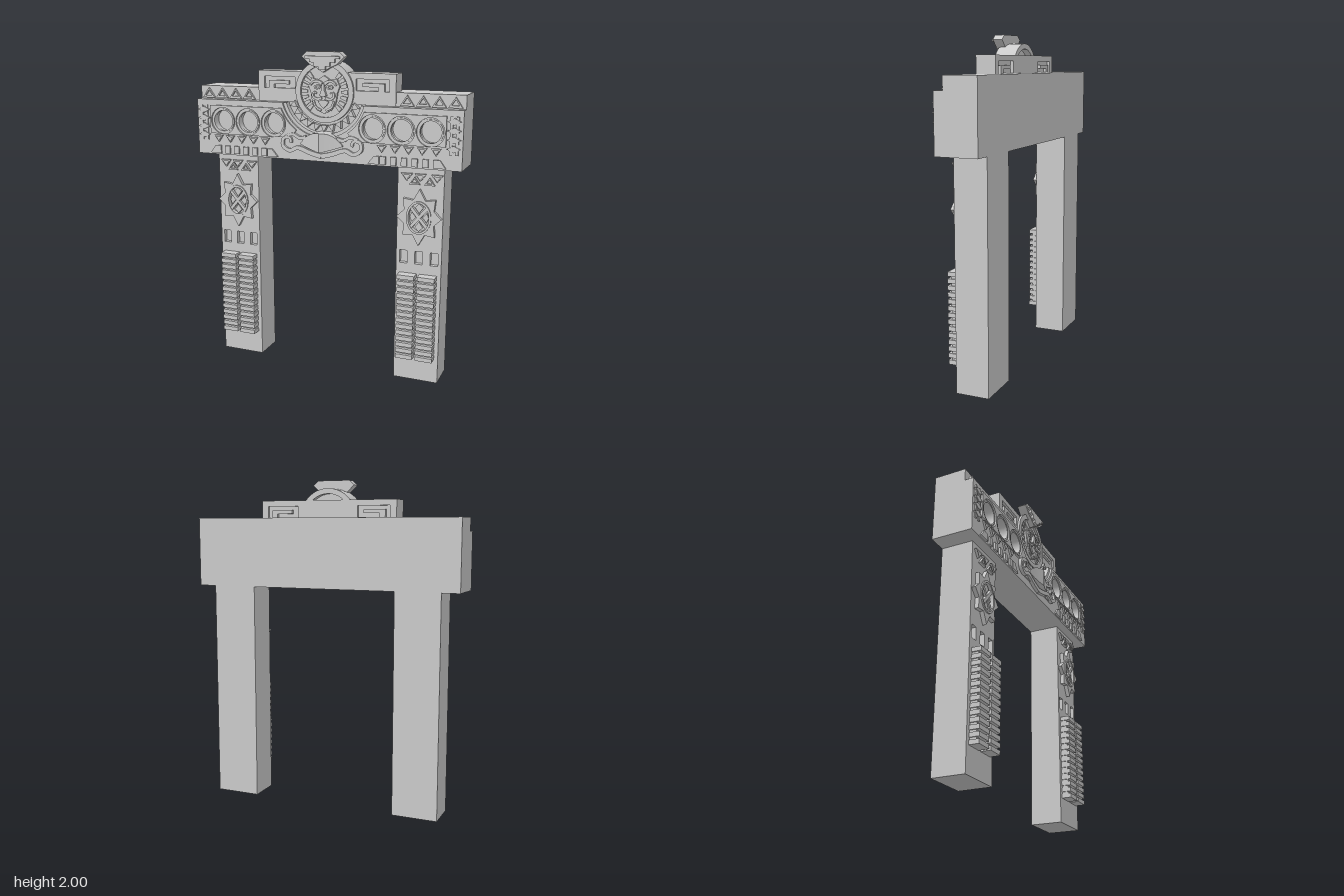
import * as THREE from 'three';
import { toCreasedNormals } from 'three/addons/utils/BufferGeometryUtils.js';

const mat = new THREE.MeshStandardMaterial({ color: 0xcccccc });
const V = (p) => new THREE.Vector2(p[0], p[1]);
const poly = (pts) => new THREE.Shape(pts.map(V));
const flip = (pts, s) => pts.map(([x, y]) => [x * s, y]);
const mirrored = (half) => half.concat(flip(half, -1).reverse().filter(([x]) => Math.abs(x) > 1e-6));

function circle(x, y, rx, ry = rx) {
  const s = new THREE.Shape();
  s.absellipse(x, y, rx, ry, 0, Math.PI * 2, false, 0);
  return s;
}
function add(group, name, geo) {
  const m = new THREE.Mesh(geo, mat);
  m.name = name;
  group.add(m);
  return m;
}
// flat relief of a shape between two depths
function relief(group, name, shape, z0, z1, holes = []) {
  shape.holes.push(...holes);
  const g = new THREE.ExtrudeGeometry(shape, { depth: z1 - z0, bevelEnabled: false, curveSegments: 20 });
  g.translate(0, 0, z0);
  return add(group, name, toCreasedNormals(g, 0.5));
}
function box(group, name, x0, x1, y0, y1, z0, z1) {
  const g = new THREE.BoxGeometry(x1 - x0, y1 - y0, z1 - z0);
  g.translate((x0 + x1) / 2, (y0 + y1) / 2, (z0 + z1) / 2);
  return add(group, name, g);
}
// outline of a tapering band along a smooth path
function band(pts, w0, w1, n = 28) {
  const c = new THREE.SplineCurve(pts.map(V)), a = [], b = [];
  for (let i = 0; i <= n; i++) {
    const t = i / n, p = c.getPoint(t), d = c.getTangent(t), w = (w0 + (w1 - w0) * t) / 2;
    a.push([p.x - d.y * w, p.y + d.x * w]);
    b.unshift([p.x + d.y * w, p.y - d.x * w]);
  }
  return poly(a.concat(b));
}
// open triangle frame, dir 1 points up and -1 points down
function triangle(group, name, x, y, w, h, dir, z0, z1) {
  const t = (k) => poly([[x - w * k, y - dir * h * k / 2], [x + w * k, y - dir * h * k / 2], [x, y + dir * h * k / 2]]);
  relief(group, name, t(1), z0, z1, [t(0.55)]);
}

function buildPost(root, s) {
  const g = new THREE.Group();
  g.name = s > 0 ? 'leftPost' : 'rightPost';
  root.add(g);
  const cx = 0.6 * s;
  box(g, 'postBody', cx - 0.14, cx + 0.14, 0, 1.35, -0.155, 0.015);
  // front skin with three sunken windows
  const windows = [-0.095, 0, 0.095].map((d) => poly([
    [cx + d - 0.024, 0.755], [cx + d + 0.024, 0.755], [cx + d + 0.024, 0.835], [cx + d - 0.024, 0.835]]));
  relief(g, 'postFace', poly([[cx - 0.14, 0], [cx + 0.14, 0], [cx + 0.14, 1.35], [cx - 0.14, 1.35]]), 0.015, 0.045, windows);
  // two stacks of slats
  for (const d of [-0.0625, 0.0625]) {
    box(g, 'slatCore', cx + d - 0.046, cx + d + 0.046, 0.16, 0.69, 0.04, 0.085);
    for (let i = 0; i < 14; i++) {
      const y = 0.155 + i * 0.0395;
      box(g, 'slat', cx + d - 0.053, cx + d + 0.053, y, y + 0.026, 0.04, 0.105);
    }
  }
  // zigzag of triangles
  for (const d of [-0.083, 0, 0.1]) triangle(g, 'downTriangle', cx + d, 1.287, 0.035, 0.046, -1, 0.04, 0.06);
  for (const d of [-0.035, 0.055]) triangle(g, 'upTriangle', cx + d, 1.268, 0.033, 0.046, 1, 0.04, 0.06);
  // eight-pointed star with a pierced oval
  const star = [];
  for (let i = 0; i < 16; i++) {
    const a = i * Math.PI / 8;
    const r = i % 2 ? 0.098 : i % 4 ? 0.138 : 1;
    const rx = r === 1 ? 0.137 : r, ry = r === 1 ? 0.172 : r * 1.15;
    star.push([cx + rx * Math.cos(a), 1.05 + ry * Math.sin(a)]);
  }
  relief(g, 'star', poly(star), 0.04, 0.07, [circle(cx, 1.05, 0.076, 0.1)]);
  relief(g, 'starOval', circle(cx, 1.05, 0.076, 0.1), 0.04, 0.078, [circle(cx, 1.05, 0.063, 0.087)]);
  for (const m of [-1, 1]) {
    relief(g, 'starCross', band([[cx - 0.05 * m, 0.99], [cx, 1.05], [cx + 0.05 * m, 1.11]], 0.02, 0.02, 8), 0.04, 0.072 + m * 0.002);
    relief(g, 'starLeaf', poly([[cx, 1.05 + m * 0.025], [cx + 0.025, 1.05 + m * 0.06], [cx, 1.05 + m * 0.085], [cx - 0.025, 1.05 + m * 0.06]]), 0.04, 0.065);
    relief(g, 'starPetal', poly([[cx + m * 0.02, 1.05], [cx + m * 0.045, 1.08], [cx + m * 0.058, 1.05], [cx + m * 0.045, 1.02]]), 0.04, 0.06);
  }
}

function buildLintel(root) {
  const g = new THREE.Group();
  g.name = 'lintel';
  root.add(g);
  box(g, 'lintelBody', -0.85, 0.85, 1.35, 1.775, -0.155, 0.045);
  // front slab with round wells and a bay for the medallion
  const slab = new THREE.Shape();
  slab.moveTo(-0.85, 1.35).lineTo(0.85, 1.35).lineTo(0.85, 1.695).lineTo(0.261, 1.695);
  slab.absarc(0, 1.765, 0.27, -0.262, -Math.PI + 0.262, true);
  slab.lineTo(-0.85, 1.695);
  const wells = [0.665, 0.492, 0.317];
  relief(g, 'frontSlab', slab, 0.045, 0.1, [-1, 1].flatMap((s) => wells.map((x) => circle(x * s, 1.565, 0.068))));

  for (const s of [-1, 1]) {
    // raised plate around the wells, its inner edge following the bay
    const edge = [[0.2, 1.485], [0.755, 1.485], [0.755, 1.66]];
    for (let i = 0; i <= 8; i++) {
      const a = 0.377 + i * 0.072;
      edge.push([0.285 * Math.cos(a), 1.765 - 0.285 * Math.sin(a)]);
    }
    relief(g, 'wellPlate', poly(flip(edge, s)), 0.095, 0.112, wells.map((x) => circle(x * s, 1.565, 0.083)));
    for (const x of wells) relief(g, 'wellRing', circle(x * s, 1.565, 0.074), 0.08, 0.106, [circle(x * s, 1.565, 0.064)]);
    // triangle and block friezes
    for (let i = 0; i < 4; i++) triangle(g, 'topTriangle', s * (0.79 - i * 0.094), 1.732, 0.042, 0.062, 1, 0.04, 0.06);
    for (let i = 0; i < 5; i++) triangle(g, 'lowTriangle', s * (0.7 - i * 0.081), 1.452, 0.03, 0.044, -1, 0.095, 0.112);
    for (let i = 0; i < 5; i++) {
      const x = s * (0.64 - i * 0.064);
      box(g, 'friezeBlock', x - 0.017, x + 0.017, 1.36, 1.408, 0.095, 0.112);
    }
    relief(g, 'friezeEnd', poly(flip([[0.76, 1.36], [0.685, 1.36], [0.685, 1.408], [0.725, 1.408]], s)), 0.095, 0.112);
    relief(g, 'friezeTip', poly(flip([[0.29, 1.36], [0.36, 1.36], [0.36, 1.408], [0.33, 1.408]], s)), 0.095, 0.112);
    // spiked end columns
    for (const x of [0.783, 0.818]) box(g, 'columnBar', s * x - 0.008, s * x + 0.008, 1.44, 1.66, 0.095, 0.108);
    for (let i = 0; i < 4; i++) {
      const y = 1.475 + i * 0.052;
      relief(g, 'columnSpike', poly([[s * 0.8 - 0.04, y], [s * 0.8, y - 0.02], [s * 0.8 + 0.04, y], [s * 0.8, y + 0.02]]), 0.095, 0.113);
    }
  }

  // crest block with squared spiral grooves on both faces
  const spiral = [[0.4, 1.775], [0.4, 1.845], [0.195, 1.845], [0.195, 1.777], [0.335, 1.777], [0.335, 1.8],
    [0.235, 1.8], [0.235, 1.822], [0.37, 1.822], [0.37, 1.775]];
  relief(g, 'crestBlock', poly([[-0.44, 1.695], [0.44, 1.695], [0.44, 1.88], [-0.44, 1.88]]), -0.068, 0.054,
    [1, -1].map((s) => poly(flip(spiral, s))));
  box(g, 'crestCore', -0.43, 0.43, 1.7, 1.87, -0.05, 0.036);
}

function buildMedallion(root) {
  const g = new THREE.Group();
  g.name = 'medallion';
  root.add(g);
  const cy = 1.765;
  const at = (r, a) => [r * Math.cos(a), cy + r * Math.sin(a)];
  relief(g, 'medallionRing', circle(0, cy, 0.185), -0.06, 0.07, [circle(0, cy, 0.153)]);
  relief(g, 'medallionDisc', circle(0, cy, 0.16), -0.02, 0.056);
  // teeth around the bay below the ring
  for (let i = 0; i < 11; i++) {
    const a = -Math.PI / 2 + (i - 5) * 0.235;
    relief(g, 'bayTooth', poly([at(0.2, a - 0.1), at(0.24, a), at(0.2, a + 0.1)]), 0.04, 0.075);
  }
  const rim = new THREE.Shape();
  rim.absarc(0, cy, 0.27, -Math.PI + 0.28, -0.28, false);
  rim.absarc(0, cy, 0.25, -0.28, -Math.PI + 0.28, true);
  relief(g, 'bayRim', rim, 0.04, 0.086);
  // mask plate
  const mask = mirrored([[0, 1.635], [0.045, 1.655], [0.075, 1.7], [0.085, 1.76], [0.1, 1.8], [0.08, 1.845], [0.04, 1.835], [0, 1.86]]);
  relief(g, 'mask', poly(mask), 0.05, 0.072);
  for (const s of [-1, 1]) {
    for (let i = 0; i < 7; i++) {
      const a = Math.PI / 2 - s * (Math.PI / 2 + (i - 3) * 0.27);
      relief(g, 'feather', poly([at(0.108, a - 0.07), at(0.148, a - 0.09), at(0.148, a + 0.09), at(0.108, a + 0.07)]), 0.05, 0.066);
    }
    relief(g, 'brow', band(flip([[0.008, 1.812], [0.03, 1.826], [0.06, 1.826], [0.082, 1.805]], s), 0.02, 0.01, 12), 0.065, 0.088);
    relief(g, 'eye', circle(s * 0.04, 1.793, 0.02, 0.014), 0.065, 0.084, [circle(s * 0.04, 1.793, 0.009, 0.006)]);
    relief(g, 'cheekCurl', band(flip([[0.012, 1.73], [0.04, 1.722], [0.066, 1.737], [0.062, 1.762], [0.043, 1.757]], s), 0.018, 0.008, 18), 0.065, 0.084);
    relief(g, 'jaw', band(flip([[0.065, 1.712], [0.05, 1.675], [0.015, 1.655]], s), 0.012, 0.012, 10), 0.065, 0.08);
  }
  relief(g, 'nose', poly(mirrored([[0, 1.735], [0.022, 1.745], [0.01, 1.775], [0.008, 1.81], [0, 1.815]])), 0.065, 0.092);
  relief(g, 'mouth', poly(mirrored([[0, 1.668], [0.02, 1.685], [0.035, 1.71], [0, 1.718]])), 0.065, 0.082);
  // stepped crown
  const outer = [[0, 1.88], [0.04, 1.905], [0.085, 1.925], [0.135, 1.972], [0.102, 2], [0, 2]];
  const steps = [[0, 1.895], [0.022, 1.895], [0.022, 1.915], [0.05, 1.915], [0.05, 1.938], [0.08, 1.938], [0.08, 1.96], [0.11, 1.96], [0.11, 1.975], [0, 1.975]];
  relief(g, 'crown', poly(mirrored(outer)), 0.03, 0.09);
  relief(g, 'crownSteps', poly(mirrored(steps)), 0.085, 0.106);
}

function buildScroll(root) {
  const g = new THREE.Group();
  g.name = 'scrollOrnament';
  root.add(g);
  for (const s of [-1, 1]) {
    relief(g, 'scrollBack', poly(flip([[0, 1.375], [0.1, 1.4], [0.2, 1.4], [0.25, 1.43], [0.245, 1.48], [0.2, 1.5], [0.13, 1.485], [0, 1.5]], s)), 0.045, 0.107);
    relief(g, 'scrollArm', band(flip([[0, 1.385], [0.07, 1.402], [0.15, 1.428], [0.205, 1.408], [0.25, 1.435],
      [0.245, 1.482], [0.205, 1.485], [0.195, 1.455]], s), 0.03, 0.016, 44), 0.1, 0.122);
    relief(g, 'scrollTop', band(flip([[0.235, 1.495], [0.185, 1.508], [0.14, 1.488], [0.1, 1.495]], s), 0.016, 0.022, 16), 0.045, 0.12);
  }
  // ridged centre piece, bowed out to a vertical edge
  const geo = new THREE.BoxGeometry(2, 2, 2, 20, 1, 1);
  const p = geo.attributes.position;
  for (let i = 0; i < p.count; i++) {
    const u = p.getX(i), a = Math.abs(u);
    const y = p.getY(i) > 0 ? 1.527 - 0.07 * a ** 2.5 : 1.412 + 0.038 * a ** 1.3;
    p.setXYZ(i, u * 0.135, y, p.getZ(i) > 0 ? 0.118 + 0.038 * (1 - a) ** 1.4 : 0.045);
  }
  add(g, 'scrollCentre', toCreasedNormals(geo, 0.4));
}

export function createModel() {
  const root = new THREE.Group();
  root.name = 'carvedGateway';
  for (const s of [-1, 1]) buildPost(root, s);
  buildLintel(root);
  buildMedallion(root);
  buildScroll(root);
  return root;
}
